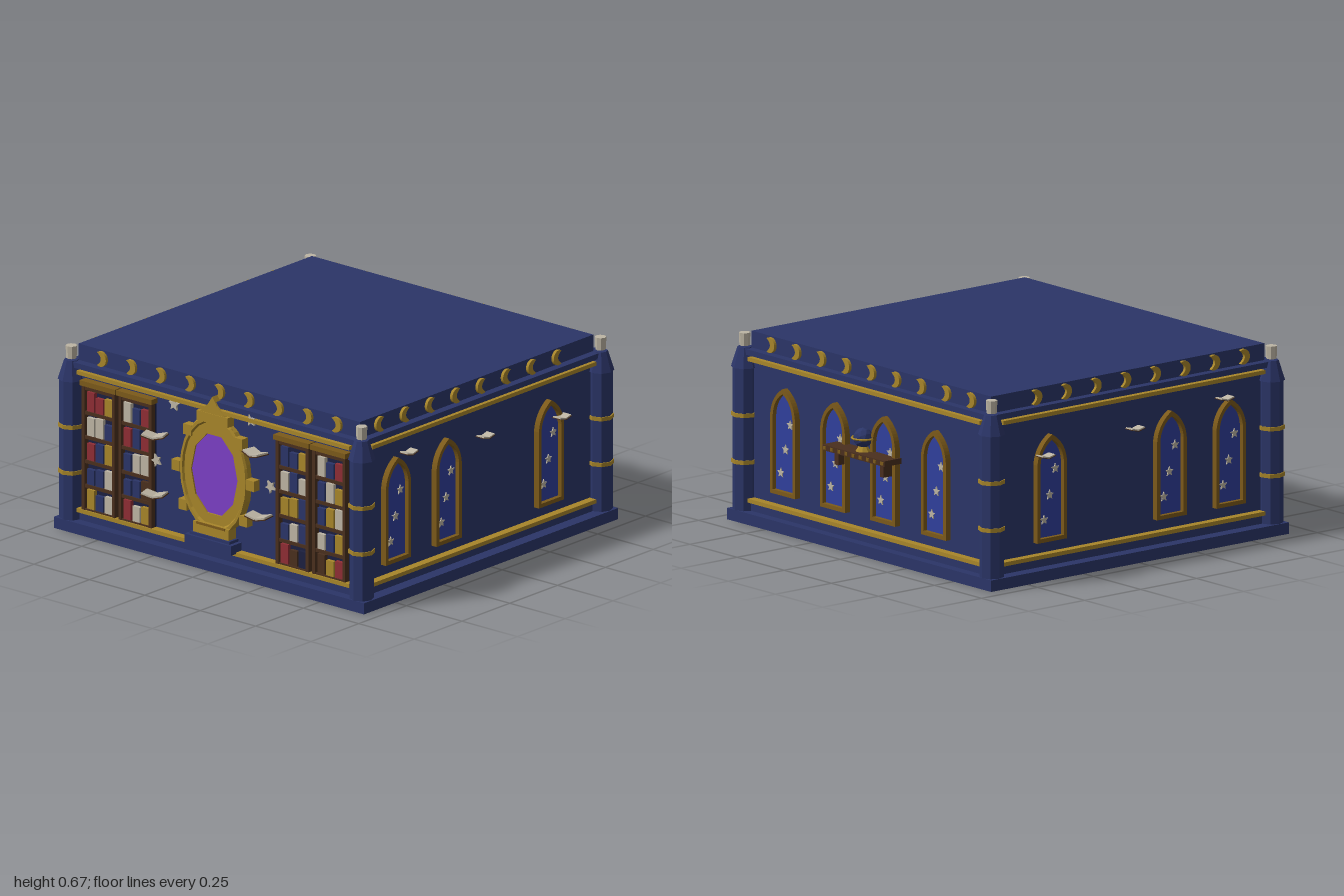
import * as THREE from 'three';

const mat = (name, color) => Object.assign(new THREE.MeshStandardMaterial({ color, flatShading: true }), { name });

export function createModel() {
  const navy = mat('navy', 0x2b3568), gold = mat('gold', 0xa8862a), bronze = mat('bronze', 0x7c5a1a);
  const brown = mat('brown wood', 0x4a2f1e), glass = mat('blue glass', 0x303f9c), purple = mat('purple', 0x7c3fc6);
  const cream = mat('cream', 0xbdb5a4), red = mat('red', 0x8f2d35), dark = mat('dark', 0x1c2040);
  const root = new THREE.Group();
  root.name = 'celestialHall';

  const add = (parent, name, geo, material, x = 0, y = 0, z = 0) => {
    const m = new THREE.Mesh(geo, material);
    m.name = name;
    m.position.set(x, y, z);
    parent.add(m);
    return m;
  };
  const box = (parent, name, w, h, d, material, x, y, z) =>
    add(parent, name, new THREE.BoxGeometry(w, h, d), material, x, y, z);
  const group = (parent, name, x = 0, y = 0, z = 0, ry = 0) => {
    const g = new THREE.Group();
    g.name = name;
    g.position.set(x, y, z);
    g.rotation.y = ry;
    parent.add(g);
    return g;
  };
  const extrude = (shape, depth) =>
    new THREE.ExtrudeGeometry(shape, { depth, bevelEnabled: false, curveSegments: 10 });

  // Main block, bottom to top
  box(root, 'plinth', 1.4, 0.04, 1.33, navy, 0, 0.02, 0);
  box(root, 'walls', 1.28, 0.56, 1.23, navy, 0, 0.31, 0);
  box(root, 'ledge', 1.33, 0.02, 1.28, navy, 0, 0.597, 0);
  box(root, 'roof', 1.27, 0.06, 1.22, navy, 0, 0.636, 0);

  // Corner columns with bands, caps and finials
  for (const sx of [-1, 1]) for (const sz of [-1, 1]) {
    const c = group(root, 'cornerColumn', sx * 0.655, 0, sz * 0.625);
    add(c, 'shaft', new THREE.CylinderGeometry(0.042, 0.042, 0.51, 8), navy, 0, 0.295, 0);
    add(c, 'cap', new THREE.CylinderGeometry(0.025, 0.047, 0.07, 8), navy, 0, 0.575, 0);
    add(c, 'finial', new THREE.CylinderGeometry(0.02, 0.018, 0.045, 8), cream, 0, 0.637, 0);
    for (const y of [0.21, 0.375]) add(c, 'band', new THREE.CylinderGeometry(0.046, 0.046, 0.014, 8), gold, 0, y, 0);
  }

  // Shared ornament shapes
  const starShape = r => new THREE.Shape(Array.from({ length: 10 }, (_, i) => {
    const a = Math.PI / 2 + i * Math.PI / 5, q = i % 2 ? r * 0.45 : r;
    return new THREE.Vector2(Math.cos(a) * q, Math.sin(a) * q);
  }));
  const moon = new THREE.Shape();
  moon.absarc(0, 0, 0.027, -2.1, 2.1, false);
  moon.quadraticCurveTo(0.022, 0, Math.cos(2.1) * 0.027, -Math.sin(2.1) * 0.027);
  const moonGeo = extrude(moon, 0.014);
  const smallStar = extrude(starShape(0.018), 0.004), bigStar = extrude(starShape(0.024), 0.008);

  const archShape = (w, bottom, spring, top) => {
    const s = new THREE.Shape();
    s.moveTo(-w, bottom);
    s.lineTo(w, bottom);
    s.lineTo(w, spring);
    s.quadraticCurveTo(w * 0.9, (spring + top) / 2 + 0.015, 0, top);
    s.quadraticCurveTo(-w * 0.9, (spring + top) / 2 + 0.015, -w, spring);
    return s;
  };
  const frameShape = archShape(0.066, 0.125, 0.4, 0.5);
  frameShape.holes.push(archShape(0.052, 0.139, 0.4, 0.482));
  const frameGeo = extrude(frameShape, 0.022);
  const paneGeo = extrude(archShape(0.056, 0.13, 0.4, 0.487), 0.006);

  const window_ = (face, x) => {
    const g = group(face, 'archedWindow', x);
    add(g, 'windowFrame', frameGeo, bronze);
    add(g, 'windowPane', paneGeo, glass);
    [[0.025, 0.375], [0, 0.285], [-0.025, 0.2]].forEach(([sx, sy]) => add(g, 'paneStar', smallStar, cream, sx, sy, 0.006));
  };

  // Open floating book, two raised leaves on a cover
  const openBook = (face, x, y, z, ry, size = 1) => {
    const g = group(face, 'floatingBook', x, y, z, ry);
    g.scale.setScalar(size);
    for (const s of [-1, 1]) {
      box(g, 'pages', 0.04, 0.006, 0.05, cream, s * 0.02, 0.004, 0).rotation.z = s * 0.25;
      box(g, 'cover', 0.044, 0.003, 0.054, brown, s * 0.021, -0.001, 0).rotation.z = s * 0.25;
    }
  };

  // Four faces, each with local z pointing outward
  const faces = [['frontFace', 0, 0.615, 1.23], ['rightFace', Math.PI / 2, 0.64, 1.17],
    ['backFace', Math.PI, 0.615, 1.23], ['leftFace', -Math.PI / 2, 0.64, 1.17]].map(([name, ry, d, w], i) => {
    const turn = group(root, name, 0, 0, 0, ry);
    const f = group(turn, name + 'Details', 0, 0, d);
    box(f, 'lowerTrim', w, 0.014, 0.04, gold, 0, 0.078, 0.01);
    box(f, 'upperTrim', w, 0.014, 0.04, gold, 0, 0.575, 0.01);
    box(f, 'skirting', w, 0.03, 0.03, navy, 0, 0.055, 0);
    const side = i % 2, n = side ? 8 : 9;
    for (let k = 0; k < n; k++) {
      let x = side ? -0.51 + k * 0.1325 : -0.53 + k * 0.1325;
      if (i === 3) x = -x;
      const m = add(f, 'moonOrnament', moonGeo, gold, x, 0.635, -0.008);
      if (i === 1) m.rotation.y = Math.PI, m.position.z = 0.006;
    }
    return f;
  });
  const [front, right, back, left] = faces;

  // Windows and floating books on sides and back
  for (const z of [0.44, 0.175, -0.36]) {
    window_(right, -z);
    window_(left, z);
  }
  for (const x of [0.44, 0.175, -0.09, -0.36]) window_(back, -x);
  [[0.4, 0.51], [0, 0.465], [-0.4, 0.43]].forEach(([z, y]) => {
    openBook(right, -z, y, 0.035, 0, 0.7);
    openBook(left, z, y, 0.035, 0, 0.7);
  });

  // Back shelf with globe
  const shelf = group(back, 'wallShelf');
  box(shelf, 'shelfBoard', 0.33, 0.02, 0.075, brown, 0, 0.355, 0.038);
  for (const x of [-0.12, 0.12]) box(shelf, 'bracket', 0.02, 0.05, 0.05, brown, x, 0.322, 0.025);
  for (let i = 0; i < 9; i++) box(shelf, 'shelfStud', 0.014, 0.012, 0.004, bronze, (i - 4) * 0.038, 0.355, 0.076);
  add(shelf, 'globeStand', new THREE.CylinderGeometry(0.015, 0.028, 0.02, 8), gold, 0, 0.373, 0.032);
  add(shelf, 'globe', new THREE.IcosahedronGeometry(0.035, 1), navy, 0, 0.412, 0.032);
  add(shelf, 'globeRing', new THREE.TorusGeometry(0.039, 0.004, 5, 16), gold, 0, 0.412, 0.032).rotation.x = Math.PI / 2;

  // Bookcases; each string is one case, three books per shelf from the top
  const bookColors = { r: red, w: cream, g: gold, n: navy, d: dark, b: brown };
  const bookcase = (x, books) => {
    const g = group(front, 'bookcase', x);
    box(g, 'caseBack', 0.15, 0.45, 0.006, dark, 0, 0.31, 0.003);
    for (const s of [-1, 1]) box(g, 'caseSide', 0.013, 0.45, 0.026, brown, s * 0.068, 0.31, 0.013);
    for (let r = 0; r < 6; r++) box(g, 'shelf', 0.13, 0.012, 0.024, brown, 0, 0.084 + r * 0.088, 0.012);
    box(g, 'crown', 0.16, 0.018, 0.032, bronze, 0, 0.542, 0.016);
    [...books].forEach((c, i) => {
      const h = 0.055 + ((i * 5 + 3) % 4) * 0.005, row = Math.floor(i / 3);
      box(g, 'book', 0.033, h, 0.015, bookColors[c], (i % 3 - 1) * 0.04, 0.442 - row * 0.088 + h / 2, 0.0125);
    });
  };
  bookcase(-0.52, 'rrgwwnrngnnwgnw');
  bookcase(-0.355, 'wnrrnrnwwnnbrwg');
  bookcase(0.355, 'nngwnwggnnwnrbd');
  bookcase(0.52, 'wnrnwgngwwngbgr');

  // Oval mirror with a ten-sided pane
  const mirror = group(front, 'ovalMirror', 0, 0.34, 0);
  const oval = new THREE.Shape();
  oval.absellipse(0, 0, 0.152, 0.212, 0, Math.PI * 2, false, 0);
  const decagon = Array.from({ length: 10 }, (_, i) =>
    new THREE.Vector2(Math.cos(i * Math.PI / 5) * 0.105, Math.sin(i * Math.PI / 5) * 0.15));
  oval.holes.push(new THREE.Path(decagon));
  add(mirror, 'mirrorFrame', extrude(oval, 0.022), gold);
  add(mirror, 'mirrorPane', extrude(new THREE.Shape(decagon), 0.016), purple);
  add(mirror, 'mirrorRim', new THREE.TorusGeometry(0.144, 0.009, 6, 24), gold, 0, 0, 0.022).scale.y = 1.4;
  for (const s of [-1, 1]) {
    for (const [x, y] of [[0.168, 0], [0.137, -0.135], [0.115, 0.14]])
      box(mirror, 'frameStud', 0.036, 0.038, 0.03, gold, s * x, y, 0.015);
  }
  box(mirror, 'crownBase', 0.14, 0.035, 0.034, gold, 0, 0.205, 0.017);
  const peak = new THREE.Shape([[-0.065, 0], [0.065, 0], [0.02, 0.04], [0, 0.07], [-0.02, 0.04]].map(p => new THREE.Vector2(...p)));
  add(mirror, 'crownPeak', extrude(peak, 0.03), gold, 0, 0.215, 0.002);
  box(mirror, 'pedestal', 0.16, 0.055, 0.04, gold, 0, -0.205, 0.02);
  box(mirror, 'pedestalGroove', 0.13, 0.008, 0.004, bronze, 0, -0.18, 0.041);
  box(mirror, 'step', 0.21, 0.034, 0.055, navy, 0, -0.243, 0.0275);
  box(mirror, 'upperStep', 0.18, 0.012, 0.046, navy, 0, -0.222, 0.023);

  // Stars and books floating around the mirror
  [[-0.18, 0.555], [0.165, 0.575], [-0.26, 0.335], [0.255, 0.355]].forEach(([x, y], i) =>
    add(front, 'floatingStar', bigStar, cream, x, y, 0.018).rotation.z = i * 0.2);
  [[-0.235, 0.438, 0.35], [-0.235, 0.225, 0.3], [0.22, 0.475, -0.2], [0.235, 0.25, 0.15]].forEach(([x, y, ry]) =>
    openBook(front, x, y, 0.062, ry));

  return root;
}
